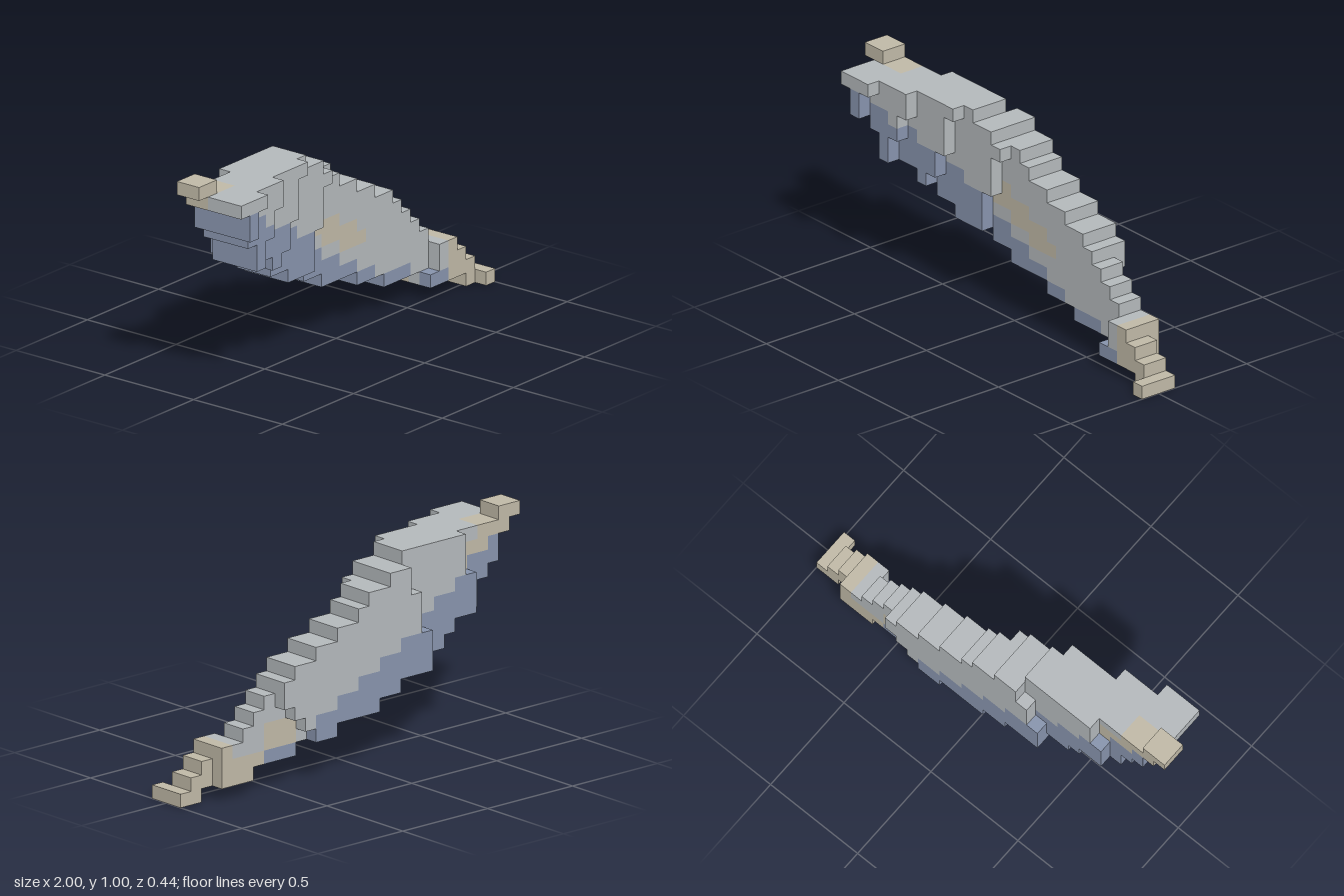
import * as THREE from 'three';

// Curved, stepped blade on a 32 x 16 x 7 grid of cubes, shaped by simple rules
const NX = 32, NY = 16, NZ = 7, S = 1 / 16;

// Lower and upper step line of the blade for every column along x
const LO = [15, 14, 12, 11, 9, 9, 9, 8, 7, 7, 6, 6, 6, 5, 5, 4, 4, 4, 4, 3, 3, 3, 2, 2, 2, 2, 1, 1, 1, 1, 0, 0];
const HI = [16, 16, 15, 15, 15, 15, 15, 15, 15, 15, 15, 15, 14, 14, 13, 13, 12, 11, 11, 10, 10, 9, 9, 8, 7, 6, 5, 4, 4, 3, 2, 1];

// Each layer, from back (0) to front (6), covers its own stretch of x
const LAYERS = [
  (i, j) => i >= (j < 9 ? 10 : j < 12 ? 11 : 12) && i < Math.min(24, 18 + j),
  (i, j) => i >= (j < 12 ? 5 : 6) && i < 29,
  () => true,
  (i, j) => i < (j < 9 ? 13 : j < 12 ? 14 : 15) || i >= 27 || (i === 26 && j === 1),
  (i, j) => (j < 15 && i < (j < 9 ? 8 : j < 11 ? 9 : j < 14 ? 10 : 11)) || i === 31,
  (i, j) => j < 15 && i < (j < 11 ? 5 : j < 13 ? 6 : 7),
  (i, j) => j < 15 && i < (j < 14 ? 3 : 4),
];

function filled(i, j, k) {
  if (i < 0 || i >= NX || j < 0 || j >= NY || k < 0 || k >= NZ) return false;
  if (j < LO[i] || j >= HI[i]) return false;
  // the middle of the blade is not part of the narrow front tip
  if (k === 3 && i >= 15 && i < 26) return false;
  return LAYERS[k](i, j);
}

// Top of the blue cutting edge, falling one step every two columns
function edgeTop(i, k) {
  if (k === 0 || k > 2 || i < 13) return 13 - Math.floor((i - 3) / 2);
  if (i > 25) return 1;
  if (i > 20 && i < 25) return 3;
  return 7 - Math.floor((i - 13) / 2);
}

// Tan patch on the front of the blade: column -> [lowest, highest] row
const PATCH = { 13: [8, 8], 14: [8, 9], 15: [7, 8], 16: [7, 8], 17: [6, 7], 18: [6, 7], 19: [6, 6] };

function colourOf(i, j, k) {
  if (i >= 28 || j === 15) return 'tan';
  if (k === 3 && i >= 26) return j === 1 ? 'blue' : 'grey';
  const top = edgeTop(i, k);
  if (j < top) return 'blue';
  if ((k === 2 || k === 3) && (i < 4 || (i < 6 && j < 14 && k === 2))) return 'tan';
  if (k === 1 && i >= 22 && j < top + 2) return 'tan';
  if (k === 2 && PATCH[i] && j >= PATCH[i][0] && j <= PATCH[i][1]) return 'tan';
  return 'grey';
}

// Adds the outer faces of one cube
function addCube(out, i, j, k) {
  const cell = [i, j, k];
  for (let axis = 0; axis < 3; axis++) {
    for (const dir of [-1, 1]) {
      const next = [...cell];
      next[axis] += dir;
      if (filled(...next)) continue;
      const u = (axis + 1) % 3, v = (axis + 2) % 3;
      const corner = (a, b) => {
        const p = [...cell];
        if (dir > 0) p[axis] += 1;
        p[u] += a;
        p[v] += b;
        return [p[0] * S - 1, p[1] * S, (p[2] - NZ / 2) * S];
      };
      const q = [corner(0, 0), corner(1, 0), corner(1, 1), corner(0, 1)];
      if (dir < 0) q.reverse();
      for (const n of [0, 1, 2, 0, 2, 3]) out.push(...q[n]);
    }
  }
}

export function createModel() {
  const group = new THREE.Group();
  group.name = 'steppedBlade';

  const parts = {
    grey: { name: 'bladeBody', colour: 0xb3b8bb, label: 'steel grey' },
    blue: { name: 'cuttingEdge', colour: 0x8793ac, label: 'slate blue' },
    tan: { name: 'tipsAndPatches', colour: 0xbfb8a6, label: 'pale tan' },
  };

  for (const [key, part] of Object.entries(parts)) {
    const positions = [];
    for (let i = 0; i < NX; i++)
      for (let j = 0; j < NY; j++)
        for (let k = 0; k < NZ; k++)
          if (filled(i, j, k) && colourOf(i, j, k) === key) addCube(positions, i, j, k);

    const geometry = new THREE.BufferGeometry();
    geometry.setAttribute('position', new THREE.Float32BufferAttribute(positions, 3));
    geometry.computeVertexNormals();
    const material = new THREE.MeshStandardMaterial({ color: part.colour });
    material.name = part.label;
    const mesh = new THREE.Mesh(geometry, material);
    mesh.name = part.name;
    group.add(mesh);
  }
  return group;
}
